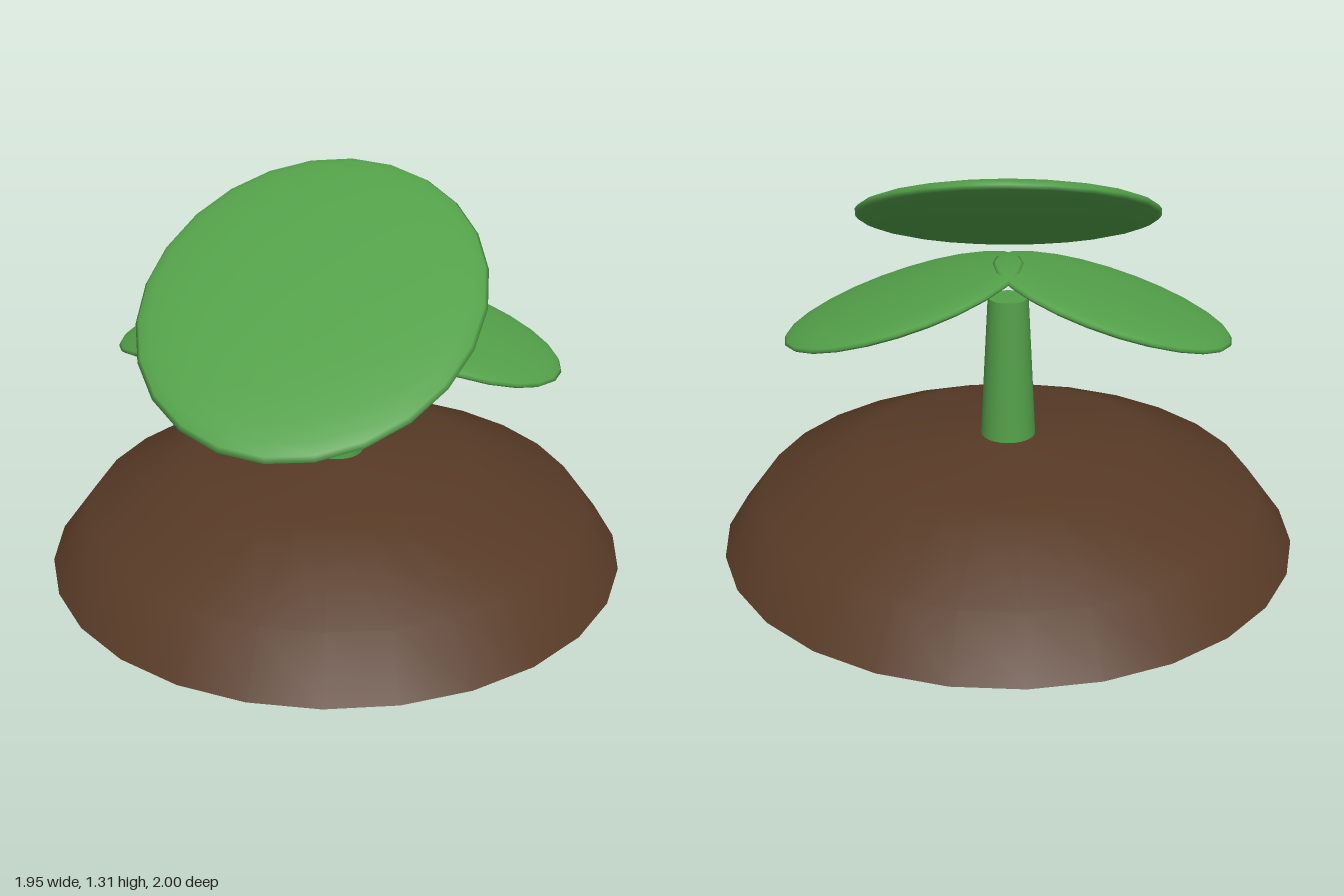
import * as THREE from 'three';

export function createModel() {
  const model = new THREE.Group();
  model.name = 'seedling';
  const leafGreen = new THREE.MeshStandardMaterial({ color: 0x53a049 });
  leafGreen.name = 'leaf green';
  const soilBrown = new THREE.MeshStandardMaterial({ color: 0x573a26 });
  soilBrown.name = 'soil brown';

  function add(name, geometry, material, parent = model) {
    const mesh = new THREE.Mesh(geometry, material);
    mesh.name = name;
    parent.add(mesh);
    return mesh;
  }

  // Soil mound: a low dome, slightly narrower across x, with a flat underside
  const mound = new THREE.Group();
  mound.name = 'mound';
  mound.scale.x = 0.98;
  model.add(mound);
  const profile = [[1, 0], [0.868, 0.175], [0.5, 0.327], [0, 0.367]]
    .map(([r, y]) => new THREE.Vector2(r, y));
  add('moundDome', new THREE.LatheGeometry(profile, 27, Math.PI / 2), soilBrown, mound);
  add('moundBase', new THREE.CircleGeometry(1, 27).rotateX(Math.PI / 2), soilBrown, mound);

  // Tapered stem, sunk into the soil
  const stem = add('stem', new THREE.CylinderGeometry(0.068, 0.096, 0.55, 24), leafGreen);
  stem.position.y = 0.575;

  // Leaves: flattened spheres, tilted downwards at the outer end
  function leaf(name, radii, position, tiltX, tiltZ) {
    const mesh = add(name, new THREE.SphereGeometry(1, 24, 16), leafGreen);
    mesh.scale.set(...radii);
    mesh.position.set(...position);
    mesh.rotation.set(tiltX, 0, tiltZ);
  }
  leaf('topLeaf', [0.535, 0.066, 0.668], [0, 1.032, 0.34], 0.42, 0);
  for (const [name, side] of [['leftLeaf', 1], ['rightLeaf', -1]]) {
    leaf(name, [0.42, 0.042, 0.34], [0.348 * side, 0.837, 0], 0, -0.315 * side);
  }

  return model;
}
